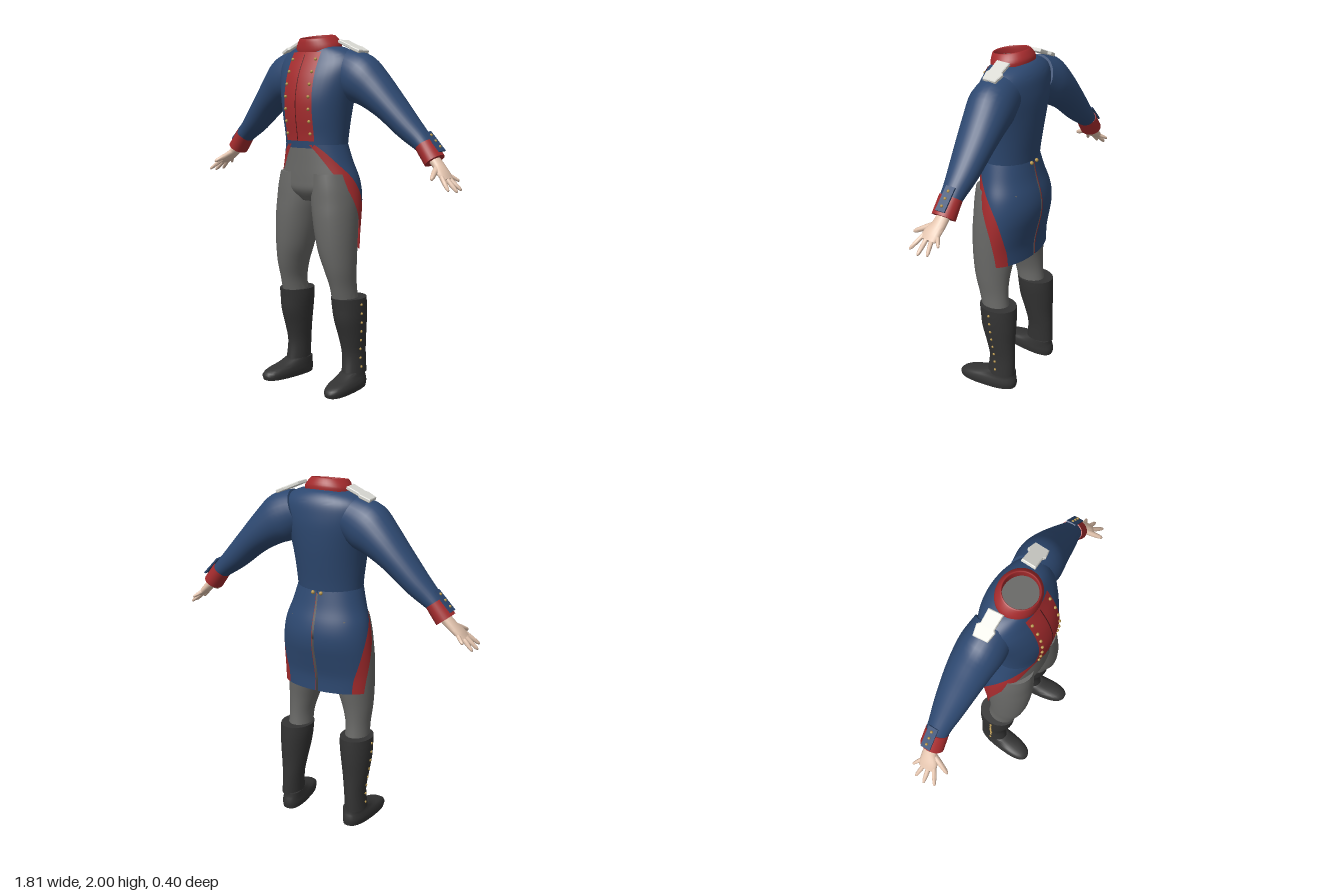
import * as THREE from 'three';
import { toCreasedNormals } from 'three/addons/utils/BufferGeometryUtils.js';

const mat = (name, color) => new THREE.MeshStandardMaterial({ name, color, side: THREE.DoubleSide });

// Catmull-Rom resampling of a table of section rows
function smooth(rows, n = 4) {
  const out = [], at = i => rows[Math.max(0, Math.min(rows.length - 1, i))];
  for (let i = 0; i < rows.length - 1; i++) for (let k = 0; k < n; k++) {
    const t = k / n;
    out.push(rows[i].map((p1, c) => {
      const p0 = at(i - 1)[c], p2 = at(i + 1)[c], p3 = at(i + 2)[c];
      return 0.5 * (2 * p1 + (p2 - p0) * t + (2 * p0 - 5 * p1 + 4 * p2 - p3) * t * t + (3 * p1 - p0 - 3 * p2 + p3) * t * t * t);
    }));
  }
  out.push(rows[rows.length - 1]);
  return out;
}

// Linear lookup in a table sorted by the given column
function lookup(rows, v, col) {
  let i = 0;
  while (i < rows.length - 2 && (rows[i + 1][col] - v) * (rows[0][col] - v) > 0) i++;
  const t = (v - rows[i][col]) / (rows[i + 1][col] - rows[i][col]);
  return rows[i].map((p, c) => p + (rows[i + 1][c] - p) * t);
}

// Horizontal section from its extents: centre x, y, z and two radii
const span = ([y, x0, x1, z0, z1]) => [(x0 + x1) / 2, y, (z0 + z1) / 2, (x1 - x0) / 2, (z1 - z0) / 2];

// Elliptical loft through rows [x, y, z, a, b]; follow turns the rings along the path
function loft(rows, { follow = false, cap = true, power = 1, seg = 28 } = {}) {
  const pos = [], idx = [], rings = rows.map((r, i) => {
    const p = rows[Math.max(0, i - 1)], q = rows[Math.min(rows.length - 1, i + 1)];
    const t = follow ? new THREE.Vector3(q[0] - p[0], q[1] - p[1], q[2] - p[2]).normalize() : new THREE.Vector3(0, 1, 0);
    const u = new THREE.Vector3(t.y, -t.x, 0).normalize();
    return { r, u, w: u.clone().cross(t) };
  });
  if (cap) {
    const tip = g => ({ ...g, r: [g.r[0], g.r[1], g.r[2], 0, 0] });
    rings.unshift(tip(rings[0]));
    rings.push(tip(rings[rings.length - 1]));
  }
  const bend = v => Math.sign(v) * Math.abs(v) ** power;
  rings.forEach(({ r, u, w }, i) => {
    for (let j = 0; j < seg; j++) {
      const th = j / seg * Math.PI * 2, c = r[3] * bend(Math.cos(th)), s = r[4] * bend(Math.sin(th));
      pos.push(r[0] + u.x * c + w.x * s, r[1] + u.y * c + w.y * s, r[2] + u.z * c + w.z * s);
      if (i < rings.length - 1) {
        const a = i * seg + j, b = i * seg + (j + 1) % seg;
        idx.push(a, a + seg, b, b, a + seg, b + seg);
      }
    }
  });
  const g = new THREE.BufferGeometry();
  g.setAttribute('position', new THREE.Float32BufferAttribute(pos, 3));
  g.setIndex(idx);
  return toCreasedNormals(g, 0.9);
}

// Open surface from a function of u and v
function grid(fn, nu, nv) {
  const pos = [], idx = [];
  for (let j = 0; j <= nv; j++) for (let i = 0; i <= nu; i++) {
    pos.push(...fn(i / nu, j / nv));
    const a = j * (nu + 1) + i;
    if (i < nu && j < nv) idx.push(a, a + nu + 1, a + 1, a + 1, a + nu + 1, a + nu + 2);
  }
  const g = new THREE.BufferGeometry();
  g.setAttribute('position', new THREE.Float32BufferAttribute(pos, 3));
  g.setIndex(idx);
  g.computeVertexNormals();
  return g;
}

function mirror(geo) {
  const g = geo.clone().scale(-1, 1, 1);
  const src = g.index ? Array.from(g.index.array) : Array.from({ length: g.attributes.position.count }, (_, i) => i);
  for (let i = 0; i < src.length; i += 3) [src[i], src[i + 1]] = [src[i + 1], src[i]];
  g.setIndex(src);
  return g;
}

export function createModel() {
  const model = new THREE.Group();
  model.name = 'uniform';
  const blue = mat('coatBlue', 0x2d4870), red = mat('facingRed', 0xa42b2d), grey = mat('trouserGrey', 0x686866),
    black = mat('bootBlack', 0x333333), skin = mat('skin', 0xe3c4ae), white = mat('epauletteWhite', 0xdcdcd6),
    gold = mat('buttonGold', 0xb8964a), dark = mat('seamDark', 0x4a1618);
  const add = (name, geo, m) => {
    const mesh = new THREE.Mesh(geo, m);
    mesh.name = name;
    model.add(mesh);
  };
  const both = (name, geo, m) => { add(name + 'Left', geo, m); add(name + 'Right', mirror(geo), m); };
  const button = (name, x, y, z, r = 0.009) => both(name, new THREE.SphereGeometry(r, 8, 6).translate(x, y, z), gold);

  // Coat body: y, half width, back z, front z
  const torso = smooth([
    [1.38, 0.19, -0.137, 0.162], [1.45, 0.195, -0.145, 0.168], [1.55, 0.207, -0.16, 0.182], [1.65, 0.225, -0.173, 0.185],
    [1.75, 0.25, -0.18, 0.166], [1.82, 0.262, -0.176, 0.14], [1.87, 0.25, -0.167, 0.115], [1.905, 0.215, -0.15, 0.098],
    [1.93, 0.16, -0.125, 0.085], [1.94, 0.11, -0.1, 0.07],
  ].map(([y, w, b, f]) => span([y, -w, w, b, f])));
  add('coatBody', loft(torso, { cap: false, seg: 40 }), blue);
  const chestZ = (x, y) => {
    const r = lookup(torso, y, 1);
    return r[2] + r[4] * Math.sqrt(1 - (x / r[3]) ** 2);
  };

  // Red front panel with its seam and two columns of buttons
  const panel = (w, y0, y1, lift) => grid((u, v) => {
    const x = (1 - 2 * u) * w, y = y0 + (y1 - y0) * v;
    return [x, y, chestZ(x, y) + lift];
  }, 10, 24);
  add('frontPanel', panel(0.1, 1.42, 1.905, 0.007), red);
  add('frontSeam', panel(0.0025, 1.42, 1.89, 0.009), dark);
  for (let i = 0; i < 7; i++) {
    const y = 1.46 + i * 0.0675;
    button('chestButton', 0.083, y, chestZ(0.083, y) + 0.01);
  }

  // Standing collar, lower at the front: radius x, radius z, centre z, y, tilt
  const collar = smooth([[0.135, 0.11, -0.008, 1.915, 0.03], [0.135, 0.112, -0.004, 1.945, 0.024], [0.106, 0.1, 0.005, 1.985, 0.015],
    [0.096, 0.09, 0.005, 1.984, 0.015], [0.1, 0.088, 0, 1.93, 0.015]], 3);
  add('collar', grid((u, v) => {
    const [rx, rz, zc, y, tilt] = collar[Math.round(v * (collar.length - 1))], a = u * Math.PI * 2;
    return [rx * Math.sin(a), y - tilt * Math.cos(a), zc + rz * Math.cos(a)];
  }, 40, collar.length - 1), red);
  add('collarFloor', new THREE.CircleGeometry(1, 32).rotateX(-Math.PI / 2).scale(0.112, 1, 0.1).translate(0, 1.943, 0), grey);

  // Coat tails: y, half width, front z, back z, edge z, band z
  const tails = smooth([
    [1.4, 0.192, 0.163, -0.137, 0.155, 0.143], [1.3, 0.22, 0.155, -0.16, 0.115, 0.07], [1.22, 0.248, 0.15, -0.185, 0.08, 0.002],
    [1.15, 0.262, 0.15, -0.197, 0.035, -0.045], [1.08, 0.27, 0.15, -0.193, 0, -0.075], [1.0, 0.275, 0.145, -0.175, -0.03, -0.092],
    [0.9, 0.275, 0.13, -0.153, -0.05, -0.102], [0.81, 0.27, 0.12, -0.15, -0.06, -0.105],
  ]);
  const tail = (part, inset) => grid((u, v) => {
    const [y, w, f, b, ze, zb] = lookup(tails, 1.4 - 0.59 * v, 0), zc = (f + b) / 2, d = (f - b) / 2;
    const edge = Math.acos((ze - zc) / d), band = Math.acos((zb - zc) / d), end = Math.PI - 0.03;
    const [p, q] = part === 'band' ? [edge, band] : part === 'cloth' ? [band, end] : [edge, end];
    const a = p + (q - p) * u;
    return [(w - inset) * Math.sin(a), y, zc + (d - inset) * Math.cos(a)];
  }, 20, 32);
  both('tailEdge', tail('band', 0), red);
  both('coatTail', tail('cloth', 0), blue);
  both('tailLining', tail('lining', 0.004), red);
  button('waistButton', 0.025, 1.385, -0.143, 0.011);

  // Sleeves and cuffs
  both('sleeve', loft(smooth([
    [0.16, 1.81, -0.045, 0.12, 0.11], [0.26, 1.762, -0.05, 0.138, 0.125], [0.35, 1.7, -0.062, 0.113, 0.118],
    [0.45, 1.615, -0.072, 0.088, 0.104], [0.56, 1.51, -0.08, 0.072, 0.084], [0.64, 1.442, -0.083, 0.057, 0.066],
    [0.685, 1.403, -0.083, 0.047, 0.06]]), { follow: true }), blue);
  both('cuff', loft([[0.672, 1.418, -0.083, 0.053, 0.064], [0.735, 1.335, -0.083, 0.055, 0.066]], { follow: true }), red);
  both('cuffTab', new THREE.BoxGeometry(0.135, 0.009, 0.055).rotateZ(-0.8).translate(0.728, 1.435, -0.093), blue);
  for (const s of [-0.04, 0, 0.04]) button('cuffButton', 0.732 + s * 0.7, 1.439 - s * 0.72, -0.093, 0.008);

  // Epaulettes: a strap with a wider outer end
  const plan = new THREE.Shape([[-0.075, -0.04], [0.005, -0.035], [0.02, -0.045], [0.07, -0.035], [0.075, 0.04],
    [0.02, 0.05], [0.005, 0.035], [-0.07, 0.035]].map(p => new THREE.Vector2(...p)));
  both('epaulette', new THREE.ExtrudeGeometry(plan, { depth: 0.012, bevelSize: 0.004, bevelThickness: 0.004, bevelSegments: 1 })
    .rotateX(-Math.PI / 2).rotateZ(-0.4).translate(0.212, 1.928, -0.045), white);

  // Hands with spread fingers: base, tip, radius
  both('palm', loft(smooth([[0.715, 1.358, -0.083, 0.03, 0.036], [0.77, 1.305, -0.078, 0.026, 0.04],
    [0.81, 1.268, -0.063, 0.021, 0.052], [0.838, 1.243, -0.06, 0.013, 0.046]]), { follow: true, seg: 18 }), skin);
  for (const [name, b, t, r] of [
    ['indexFinger', [0.82, 1.258, -0.022], [0.89, 1.195, 0.018], 0.0125], ['middleFinger', [0.825, 1.255, -0.05], [0.905, 1.185, -0.043], 0.013],
    ['ringFinger', [0.822, 1.256, -0.076], [0.895, 1.19, -0.097], 0.0125], ['littleFinger', [0.808, 1.268, -0.098], [0.855, 1.232, -0.137], 0.011],
    ['thumb', [0.765, 1.305, -0.06], [0.808, 1.25, 0.053], 0.016]]) {
    const rows = [[0, 1], [0.5, 0.95], [0.85, 0.75], [0.96, 0.5], [1, 0.2]]
      .map(([k, s]) => [...b.map((v, i) => v + (t[i] - v) * k), r * s, r * s]);
    both(name, loft(rows, { follow: true, seg: 10 }), skin);
  }

  // Trousers
  add('trouserHips', loft(smooth([[1.08, -0.1, 0.1, -0.1, 0.1], [1.14, -0.235, 0.235, -0.16, 0.145], [1.2, -0.243, 0.243, -0.165, 0.15],
    [1.3, -0.212, 0.212, -0.14, 0.148], [1.42, -0.182, 0.182, -0.125, 0.146]].map(span)), { seg: 40 }), grey);
  both('trouserLeg', loft(smooth([[0.5, 0.12, 0.26, -0.1, 0.065], [0.6, 0.12, 0.256, -0.087, 0.09], [0.7, 0.094, 0.262, -0.088, 0.12],
    [0.8, 0.058, 0.265, -0.1, 0.14], [0.9, 0.033, 0.266, -0.112, 0.15], [1, 0.014, 0.264, -0.13, 0.154], [1.08, 0, 0.26, -0.15, 0.152],
    [1.16, 0, 0.25, -0.163, 0.15], [1.24, 0.0, 0.23, -0.15, 0.145]].map(span))), grey);

  // Boots: shaft, foot turned slightly outward, side buttons
  const shaft = smooth([[0.09, 0.156, 0.276, -0.152, 0.022], [0.2, 0.15, 0.27, -0.15, 0.01], [0.3, 0.135, 0.28, -0.147, 0.03],
    [0.4, 0.118, 0.29, -0.15, 0.06], [0.48, 0.107, 0.293, -0.15, 0.07], [0.535, 0.105, 0.292, -0.148, 0.077]].map(span));
  both('bootShaft', loft(shaft), black);
  const foot = loft(smooth([[0, 0.157, 0.285, -0.155, 0.195], [0.03, 0.153, 0.29, -0.16, 0.2], [0.055, 0.155, 0.285, -0.156, 0.165],
    [0.075, 0.158, 0.277, -0.15, 0.085], [0.1, 0.161, 0.272, -0.147, 0.02]].map(span), 3), { power: 0.78 });
  const p = foot.attributes.position;
  for (let i = 0; i < p.count; i++) p.setX(i, p.getX(i) + 0.1 * p.getZ(i));
  both('bootFoot', foot, black);
  for (let i = 0; i < 8; i++) {
    const y = 0.13 + i * 0.053, z = -0.06 + i * 0.004, r = lookup(shaft, y, 1);
    button('bootButton', r[0] + r[3] * Math.sqrt(1 - ((z - r[2]) / r[4]) ** 2), y, z, 0.008);
  }
  return model;
}
